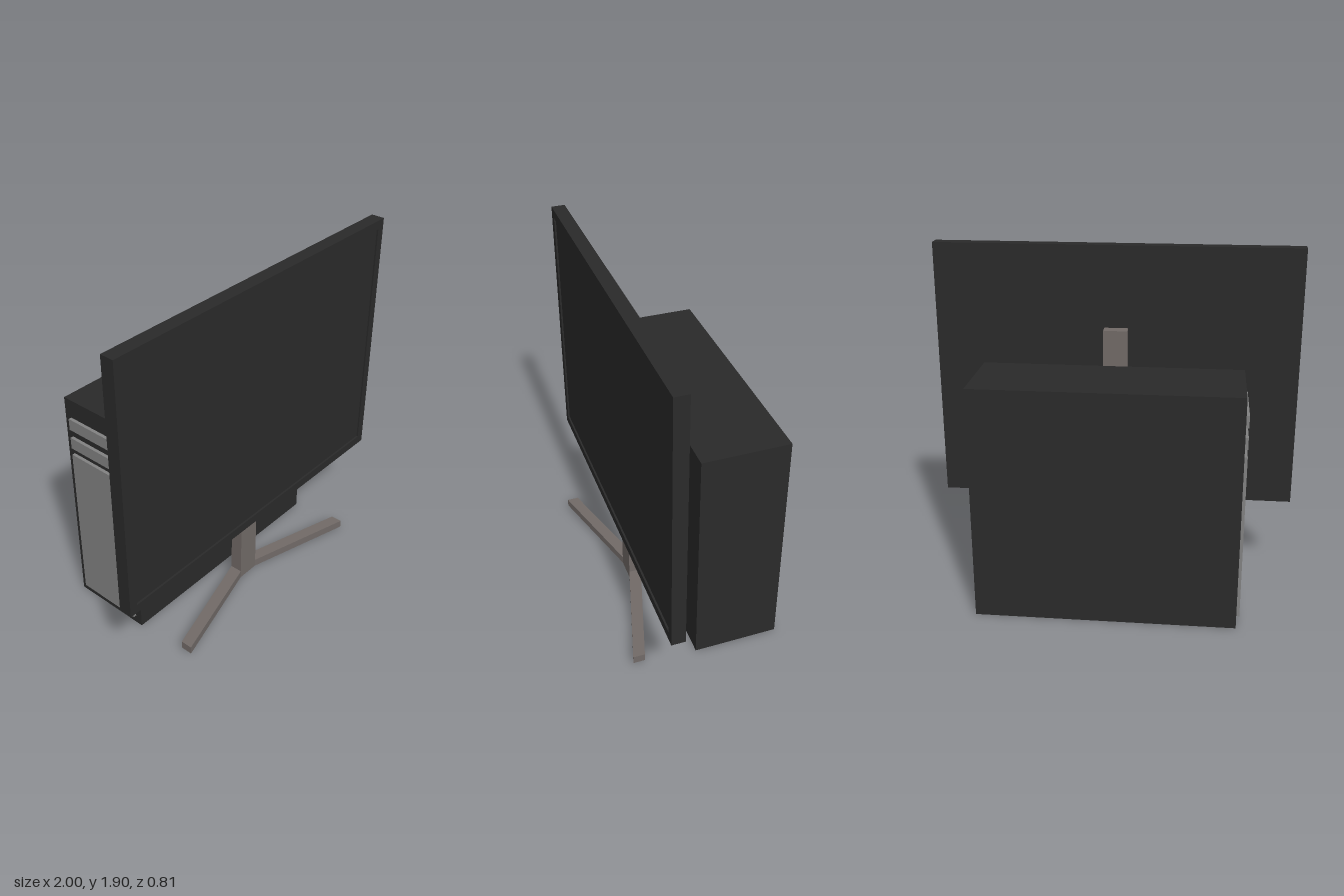
import * as THREE from 'three';

export function createModel() {
  const model = new THREE.Group();
  const black = new THREE.MeshStandardMaterial({ color: 0x2a2a2a });
  const taupe = new THREE.MeshStandardMaterial({ color: 0x716a67 });
  const grey = new THREE.MeshStandardMaterial({ color: 0x828282 });

  function add(name, geometry, material, parent = model) {
    const mesh = new THREE.Mesh(geometry, material);
    mesh.name = name;
    parent.add(mesh);
    return mesh;
  }

  // Box given by its min and max corners
  function box(name, [x0, y0, z0], [x1, y1, z1], material, parent) {
    const geometry = new THREE.BoxGeometry(x1 - x0, y1 - y0, z1 - z0);
    geometry.translate((x0 + x1) / 2, (y0 + y1) / 2, (z0 + z1) / 2);
    return add(name, geometry, material, parent);
  }

  // Monitor: back shell, raised bezel and slightly recessed screen
  const monitor = new THREE.Group();
  monitor.name = 'monitor';
  model.add(monitor);
  const zBack = 0.23, zScreen = 0.295, zFront = 0.305;
  box('screen', [-0.955, 0.505, zBack + 0.01], [0.955, 1.85, zScreen], black, monitor);
  box('monitorBack', [-1, 0.455, zBack], [1, 1.9, zScreen], black, monitor);

  const bezel = new THREE.Shape([
    new THREE.Vector2(-1, 0.455), new THREE.Vector2(1, 0.455),
    new THREE.Vector2(1, 1.9), new THREE.Vector2(-1, 1.9),
  ]);
  bezel.holes.push(new THREE.Path([
    new THREE.Vector2(-0.955, 0.505), new THREE.Vector2(-0.955, 1.85),
    new THREE.Vector2(0.955, 1.85), new THREE.Vector2(0.955, 0.505),
  ]));
  const bezelGeometry = new THREE.ExtrudeGeometry(bezel, { depth: zFront - zScreen, bevelEnabled: false });
  bezelGeometry.translate(0, 0, zScreen);
  add('bezel', bezelGeometry, black, monitor);

  // Stand: upright column and a splayed pair of feet
  const stand = new THREE.Group();
  stand.name = 'stand';
  model.add(stand);
  box('standColumn', [-0.065, 0.06, 0.16], [0.065, 1.45, 0.23], taupe, stand);

  // Plan outline of the feet (x, -z), extruded upwards
  const feet = new THREE.Shape([
    [-0.685, 0.405], [-0.065, 0.23], [0.065, 0.23], [0.685, 0.405],
    [0.685, 0.34], [0.065, 0.16], [-0.065, 0.16], [-0.685, 0.34],
  ].map(([x, z]) => new THREE.Vector2(x, -z)));
  const feetGeometry = new THREE.ExtrudeGeometry(feet, { depth: 0.045, bevelEnabled: false });
  feetGeometry.rotateX(-Math.PI / 2);
  feetGeometry.translate(0, 0.015, 0);
  add('standFeet', feetGeometry, taupe, stand);

  // Computer tower turned sideways, its face panels on the right side
  const tower = new THREE.Group();
  tower.name = 'tower';
  model.add(tower);
  box('towerCase', [-0.7, 0, -0.41], [0.7, 1.285, 0.055], black, tower);
  const panels = [['facePanel', 0.05, 0.96], ['lowerDriveBay', 1.0, 1.065], ['upperDriveBay', 1.115, 1.18]];
  for (const [name, y0, y1] of panels) {
    box(name, [-0.718, y0, -0.37], [-0.695, y1, 0.015], grey, tower);
  }

  return model;
}
